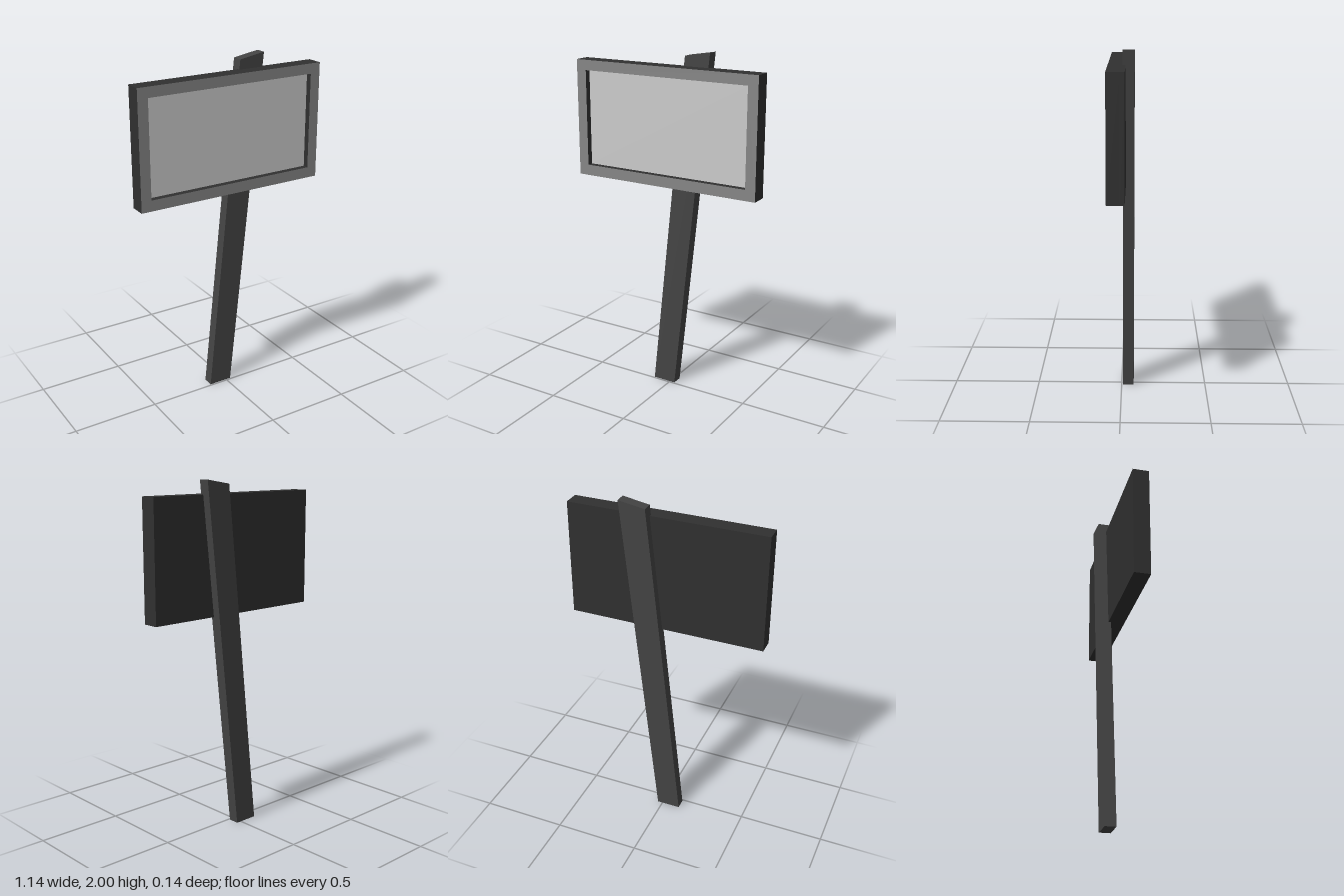
import * as THREE from 'three';

const paint = (color) => new THREE.MeshStandardMaterial({ color });

function rectangle(target, x, y0, y1) {
  target.moveTo(-x, y0);
  target.lineTo(x, y0);
  target.lineTo(x, y1);
  target.lineTo(-x, y1);
  target.closePath();
  return target;
}

export function createModel() {
  const group = new THREE.Group();
  const dark = paint(0x303030);
  const rim = paint(0x868686);
  const add = (name, geometry, material, x, y, z) => {
    const mesh = new THREE.Mesh(geometry, material);
    mesh.name = name;
    mesh.position.set(x, y, z);
    group.add(mesh);
  };

  // Leaning post with a slanted top and a level foot
  const post = new THREE.Shape([
    new THREE.Vector2(-0.11, 0),
    new THREE.Vector2(0.03, 0),
    new THREE.Vector2(0.245, 2),
    new THREE.Vector2(0.092, 1.975),
  ]);
  add('post', new THREE.ExtrudeGeometry(post, { depth: 0.063, bevelEnabled: false }),
    paint(0x444444), 0, 0, -0.072);

  // Sign frame: lighter front rim, dark outer and inner walls
  const frame = rectangle(new THREE.Shape(), 0.57, 1.25, 1.92);
  frame.holes.push(rectangle(new THREE.Path(), 0.51, 1.312, 1.862));
  add('frame', new THREE.ExtrudeGeometry(frame, { depth: 0.07, bevelEnabled: false }),
    [rim, dark], 0, 0, 0);

  // Closed back of the sign
  add('backBoard', new THREE.BoxGeometry(1.14, 0.67, 0.025), dark, 0, 1.585, -0.0125);

  // Recessed sign face
  add('signPanel', new THREE.BoxGeometry(1.02, 0.55, 0.035), paint(0xcccccc), 0, 1.587, 0.0175);

  return group;
}
